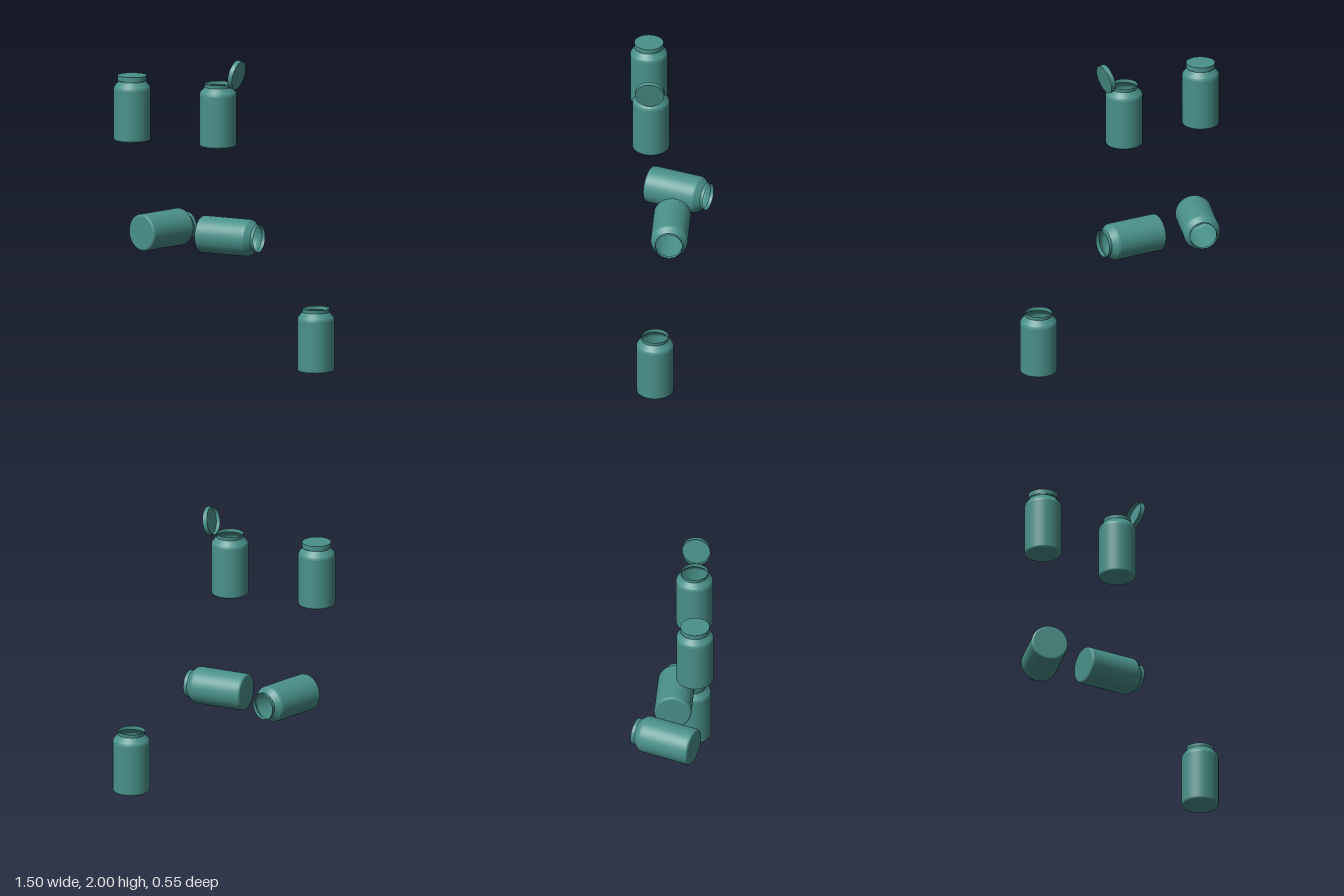
import * as THREE from 'three';

const teal = new THREE.MeshStandardMaterial({ color: 0x4a918a, side: THREE.DoubleSide });
teal.name = 'teal';

// Lathe whose listed corners are doubled so they stay crisp
function lathe(profile, name) {
  const pts = [];
  for (const [r, y, sharp] of profile) {
    pts.push(new THREE.Vector2(r, y));
    if (sharp) pts.push(new THREE.Vector2(r, y));
  }
  const mesh = new THREE.Mesh(new THREE.LatheGeometry(pts, 48), teal);
  mesh.name = name;
  return mesh;
}

// Open jar: base at its origin, mouth along +y
function makeJar() {
  return lathe([
    [0, 0], [0.108, 0, true], [0.114, 0.002], [0.118, 0.006], [0.12, 0.013, true],
    [0.12, 0.336, true], [0.1185, 0.345], [0.115, 0.353, true],
    [0.09, 0.382], [0.086, 0.387, true], [0.088, 0.41],
  ], 'jarBody');
}

// Shallow hollow cap: rim at its origin, top along +y
function makeLid() {
  return lathe([
    [0, 0.026], [0.09, 0.026, true], [0.09, 0, true],
    [0.094, 0, true], [0.094, 0.032, true], [0, 0.032],
  ], 'lid');
}

export function createModel() {
  const model = new THREE.Group();
  model.name = 'jars';
  const up = new THREE.Vector3(0, 1, 0);
  const tilt = THREE.MathUtils.degToRad(20);

  // Each jar: name, base position, mouth direction
  const jars = [
    ['closedJar', [-0.633, 1.43, 0.15], [0, 1, 0]],
    ['flippedLidJar', [-0.04, 1.43, 0.1], [0, 1, 0]],
    ['lyingJar', [-0.218, 0.82, -0.028], [1, 0, 0]],
    ['turnedLyingJar', [-0.573, 0.825, 0.139], [Math.sin(tilt), 0, -Math.cos(tilt)]],
    ['standingJar', [0.63, 0, 0.033], [0, 1, 0]],
  ];
  for (const [name, position, direction] of jars) {
    const group = new THREE.Group();
    group.name = name;
    group.add(makeJar());
    group.position.set(...position);
    group.quaternion.setFromUnitVectors(up, new THREE.Vector3(...direction));
    model.add(group);
  }

  // Lid seated on the closed jar
  const closedLid = makeLid();
  closedLid.position.y = 0.392;
  model.getObjectByName('closedJar').add(closedLid);

  // Lid swung open past upright, hollow side towards the mouth
  const openLid = makeLid();
  openLid.position.set(0.117, 0.478, 0);
  openLid.rotation.z = THREE.MathUtils.degToRad(-101.6);
  model.getObjectByName('flippedLidJar').add(openLid);

  return model;
}
